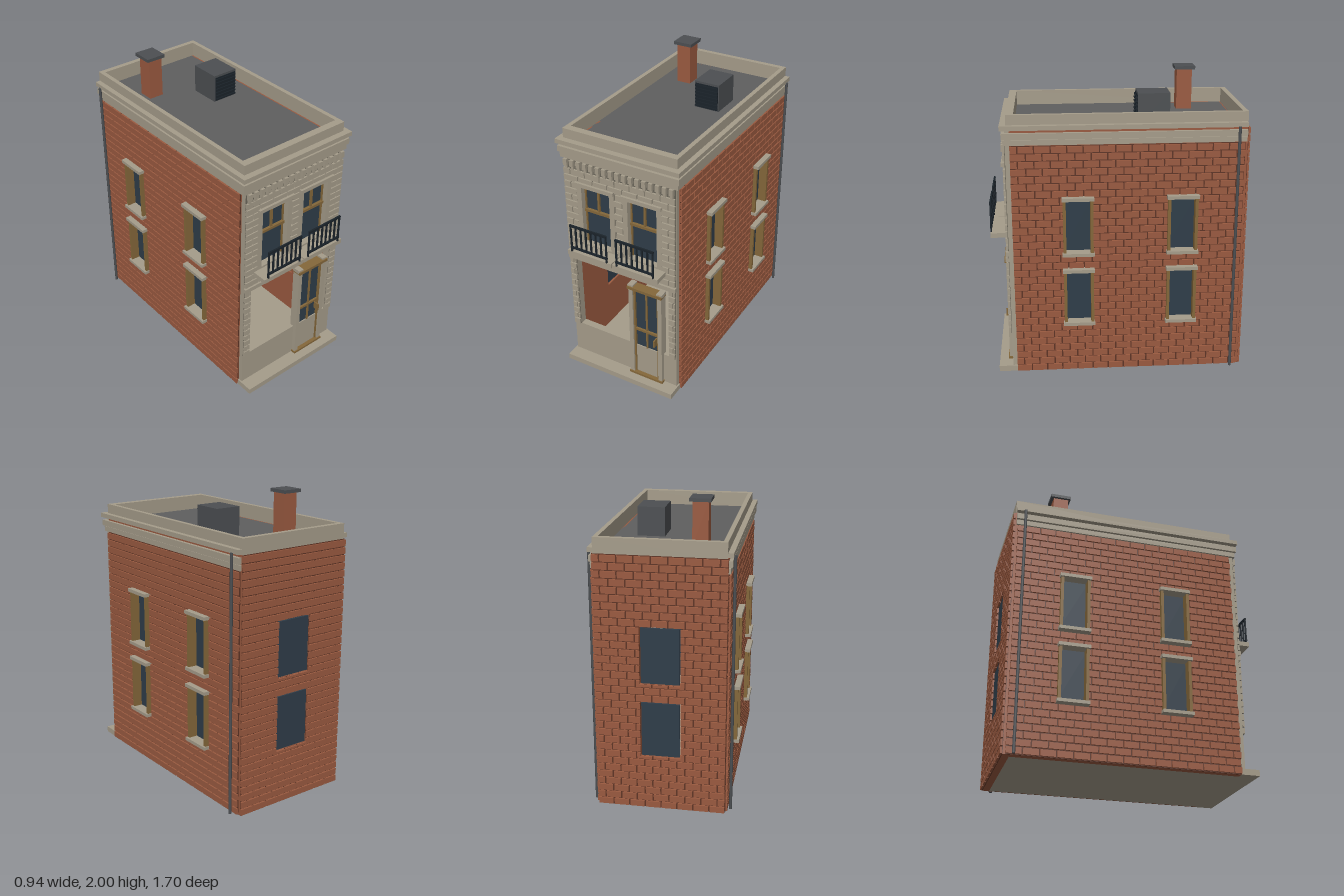
import * as THREE from 'three';
import { mergeGeometries } from 'three/addons/utils/BufferGeometryUtils.js';

const mat = (name, color) => Object.assign(new THREE.MeshStandardMaterial({ color }), { name });

export function createModel() {
  const M = {
    brick: mat('brick', 0x9a5a40),
    mortar: mat('dark mortar', 0x5e3425),
    stone: mat('stone', 0xa59c8a),
    joint: mat('stone joint', 0x6c675b),
    glass: mat('window glass', 0x2f3d49),
    wood: mat('varnished wood', 0x84673a),
    iron: mat('black iron', 0x1b232a),
    metal: mat('grey metal', 0x4c4f52),
    roof: mat('roof felt', 0x5f5f5f),
  };
  const model = new THREE.Group();
  model.name = 'townhouse';

  // Box from its limits on each axis
  const boxGeo = (x0, x1, y0, y1, z0, z1) =>
    new THREE.BoxGeometry(x1 - x0, y1 - y0, z1 - z0).translate((x0 + x1) / 2, (y0 + y1) / 2, (z0 + z1) / 2);
  const add = (parent, name, material, geo) => {
    const m = new THREE.Mesh(geo, material);
    m.name = name;
    parent.add(m);
    return m;
  };
  const box = (parent, name, material, ...limits) => add(parent, name, material, boxGeo(...limits));

  // Flat panel with rectangular holes [x0, x1, y0, y1]
  const panelGeo = ([x0, x1, y0, y1], holes, depth, z) => {
    const pts = (a, b, c, d) => [[a, c], [b, c], [b, d], [a, d]].map((p) => new THREE.Vector2(...p));
    const shape = new THREE.Shape(pts(x0, x1, y0, y1));
    for (const h of holes) shape.holes.push(new THREE.Path(pts(...h).reverse()));
    return new THREE.ExtrudeGeometry(shape, { depth, bevelEnabled: false }).translate(0, 0, z);
  };

  // Cuts the holes out of one block and returns the pieces left
  const cut = (r, holes) => holes.reduce((list, h) => list.flatMap(([a, b, c, d]) => {
    if (h[0] >= b || h[1] <= a || h[2] >= d || h[3] <= c) return [[a, b, c, d]];
    const lo = Math.max(a, h[0]), hi = Math.min(b, h[1]);
    return [[a, h[0], c, d], [h[1], b, c, d], [lo, hi, c, h[2]], [lo, hi, h[3], d]]
      .filter((p) => p[1] - p[0] > 0.008 && p[3] - p[2] > 0.008);
  }), [r]);

  // Staggered courses of raised blocks
  const courses = ([x0, x1, y0, y1], holes, rowH, len, gap, depth) => {
    const geos = [];
    const rows = Math.round((y1 - y0) / rowH);
    for (let r = 0; r < rows; r++) {
      const y = y0 + r * rowH;
      for (let x = x0 - (r % 2) * len / 2; x < x1 - 0.01; x += len) {
        const a = Math.max(x, x0), b = Math.min(x + len - gap, x1);
        if (b - a < 0.01) continue;
        for (const p of cut([a, b, y + gap / 2, y + rowH - gap / 2], holes)) geos.push(boxGeo(...p, 0, depth));
      }
    }
    return mergeGeometries(geos);
  };

  // Brick wall facing its own +z: panel, mortar face and raised bricks
  const brickWall = (name, rect, brickTop, holes) => {
    const g = new THREE.Group();
    g.name = name;
    add(g, 'wallPanel', M.brick, panelGeo(rect, holes, 0.045, -0.045));
    const face = [rect[0], rect[1], rect[2], brickTop];
    add(g, 'mortarFace', M.mortar, panelGeo(face, holes, 0.004, 0));
    add(g, 'bricks', M.brick, courses(face, holes, 0.05, 0.105, 0.009, 0.016));
    model.add(g);
    return g;
  };

  // Side walls with framed windows
  const storeys = [[0.37, 0.75], [0.87, 1.25]];
  for (const s of [1, -1]) {
    const u = (z) => -s * z;
    const ends = [u(-0.82), u(0.7)].sort((a, b) => a - b);
    const centres = [0.27, -0.42].map(u);
    const holes = centres.flatMap((c) => storeys.map(([b, t]) => [c - 0.1, c + 0.1, b, t]));
    const wall = brickWall(s > 0 ? 'leftWall' : 'rightWall', [...ends, 0, 1.7], 1.6, holes);
    wall.rotation.y = s * Math.PI / 2;
    wall.position.x = s * 0.415;
    for (const [a, b, y0, y1] of holes) {
      const w = new THREE.Group();
      w.name = 'sideWindow';
      wall.add(w);
      box(w, 'glass', M.glass, a, b, y0, y1, -0.03, -0.02);
      box(w, 'jamb', M.wood, a, a + 0.02, y0, y1, -0.03, 0.04);
      box(w, 'jamb', M.wood, b - 0.02, b, y0, y1, -0.03, 0.04);
      box(w, 'sill', M.stone, a - 0.006, b + 0.006, y0 - 0.018, y0 + 0.004, -0.02, 0.055);
      box(w, 'lintel', M.stone, a - 0.006, b + 0.006, y1 - 0.015, y1 + 0.008, -0.02, 0.055);
    }
    // Cornice bands along the side
    box(model, 'sideCornice', M.stone, ...[s * 0.39, s * 0.445].sort((a, b) => a - b), 1.705, 1.735, -0.83, 0.72);
    box(model, 'sideCornice', M.stone, ...[s * 0.39, s * 0.438].sort((a, b) => a - b), 1.645, 1.685, -0.83, 0.72);
    box(model, 'sideCornice', M.stone, ...[s * 0.39, s * 0.428].sort((a, b) => a - b), 1.605, 1.64, -0.83, 0.72);
    // Downpipe
    add(model, 'downpipe', M.metal, new THREE.CylinderGeometry(0.01, 0.01, 1.71, 8).translate(s * 0.448, 0.855, -0.775));
  }

  // Back wall with plain windows
  const backHoles = storeys.map(([b, t]) => [-0.13, 0.13, b, t]);
  const back = brickWall('backWall', [-0.415, 0.415, 0, 1.7], 1.7, backHoles);
  back.rotation.y = Math.PI;
  back.position.z = -0.835;
  for (const [a, b, y0, y1] of backHoles)
    box(back, 'backGlass', M.glass, a + 0.007, b - 0.007, y0 + 0.007, y1 - 0.007, -0.01, 0.005);

  // Base, roof and parapet
  box(model, 'baseSlab', M.stone, -0.41, 0.41, 0, 0.03, -0.83, 0.72);
  box(model, 'frontStep', M.stone, -0.42, 0.42, 0, 0.04, 0.7, 0.825);
  box(model, 'roofDeck', M.roof, -0.39, 0.39, 1.66, 1.7, -0.81, 0.69);
  add(model, 'parapet', M.stone,
    panelGeo([-0.41, 0.41, -0.72, 0.835], [[-0.38, 0.38, -0.67, 0.8]], 0.11, 1.69).rotateX(-Math.PI / 2));

  // Stone facade
  const shop = [-0.36, 0.36, 0.28, 0.845];
  const upper = [-0.172, 0.172].map((c) => [c - 0.105, c + 0.105, 1.0, 1.42]);
  const front = new THREE.Group();
  front.name = 'frontFacade';
  model.add(front);
  const openings = [shop, ...upper];
  add(front, 'facadePanel', M.stone, panelGeo([-0.41, 0.41, 0.03, 1.7], openings, 0.05, 0.68));
  const surrounds = upper.map(([a, b]) => [a - 0.035, b + 0.035, 0.96, 1.46]);
  const blockFaces = [[-0.405, 0.405, 0.88, 1.54], [-0.405, -0.36, 0.28, 0.85], [0.36, 0.405, 0.28, 0.85]];
  blockFaces.forEach((f, i) => {
    const holes = i ? [] : surrounds;
    add(front, 'jointFace', M.joint, panelGeo(f, holes, 0.004, 0.73));
    add(front, 'stoneBlocks', M.stone,
      courses(f, holes, i ? 0.0475 : 0.0472, i ? 0.07 : 0.11, 0.008, 0.018).translate(0, 0, 0.73));
  });
  box(front, 'stringCourse', M.stone, -0.41, 0.41, 0.845, 0.875, 0.72, 0.752);

  // Front cornice and its brackets
  box(front, 'cornice', M.stone, -0.445, 0.445, 1.705, 1.735, 0.69, 0.762);
  box(front, 'cornice', M.stone, -0.438, 0.438, 1.645, 1.685, 0.69, 0.752);
  box(front, 'cornice', M.stone, -0.428, 0.428, 1.605, 1.64, 0.69, 0.742);
  box(front, 'frieze', M.joint, -0.405, 0.405, 1.54, 1.605, 0.72, 0.734);
  for (let i = 0; i < 17; i++) {
    const x = -0.384 + i * 0.048;
    box(front, 'bracket', M.stone, x - 0.014, x + 0.014, 1.56, 1.605, 0.72, 0.757);
    box(front, 'bracketFoot', M.stone, x - 0.009, x + 0.009, 1.535, 1.56, 0.72, 0.747);
  }

  // Upper windows, balcony and railings
  upper.forEach(([a, b, y0, y1], i) => {
    const c = (a + b) / 2, w = new THREE.Group();
    w.name = 'balconyWindow';
    model.add(w);
    add(w, 'surround', M.stone, panelGeo(surrounds[i], [upper[i]], 0.027, 0.72));
    box(w, 'lintel', M.stone, a - 0.04, b + 0.04, 1.435, 1.46, 0.73, 0.765);
    box(w, 'glass', M.glass, a, b, y0, y1, 0.69, 0.7);
    box(w, 'mullion', M.wood, c - 0.007, c + 0.007, 1.24, y1, 0.7, 0.715);
    box(w, 'transom', M.wood, a, b, 1.235, 1.253, 0.7, 0.72);
    for (const x of [a, b - 0.01]) box(w, 'sash', M.wood, x, x + 0.01, y0, y1, 0.7, 0.71);

    box(w, 'balconySlab', M.stone, c - 0.168, c + 0.168, 0.955, 0.987, 0.73, 0.85);
    const r = new THREE.Group();
    r.name = 'railing';
    w.add(r);
    box(r, 'topRail', M.iron, c - 0.14, c + 0.14, 1.175, 1.19, 0.84, 0.852);
    box(r, 'bottomRail', M.iron, c - 0.14, c + 0.14, 1.01, 1.023, 0.84, 0.852);
    for (let k = 0; k < 8; k++) {
      const x = c - 0.134 + k * 0.0383, end = k % 7 === 0;
      box(r, 'baluster', M.iron, x - 0.005, x + 0.005, end ? 0.985 : 1.015, 1.18, 0.841, 0.851);
    }
  });

  // Street door
  const door = new THREE.Group();
  door.name = 'streetDoor';
  model.add(door);
  for (const x of [0.06, 0.28]) {
    box(door, 'doorPost', M.stone, x, x + 0.03, 0.04, 0.77, 0.7, 0.757);
    box(door, 'doorPostTop', M.stone, x - 0.005, x + 0.035, 0.77, 0.795, 0.7, 0.76);
  }
  box(door, 'doorHeader', M.wood, 0.055, 0.315, 0.763, 0.783, 0.7, 0.768);
  box(door, 'doorPanel', M.stone, 0.09, 0.28, 0.05, 0.285, 0.72, 0.738);
  box(door, 'doorGlass', M.glass, 0.09, 0.28, 0.28, 0.765, 0.72, 0.73);
  for (const x of [0.09, 0.268]) box(door, 'doorStile', M.wood, x, x + 0.012, 0.04, 0.765, 0.72, 0.745);
  box(door, 'doorMullion', M.wood, 0.179, 0.191, 0.285, 0.765, 0.72, 0.74);
  box(door, 'middleRail', M.wood, 0.09, 0.28, 0.42, 0.437, 0.72, 0.745);
  box(door, 'threshold', M.wood, 0.055, 0.315, 0.04, 0.055, 0.72, 0.765);
  box(door, 'doorHandle', M.wood, 0.252, 0.262, 0.345, 0.4, 0.73, 0.772);

  // Chimney
  box(model, 'chimneyStack', M.brick, -0.255, -0.153, 1.69, 1.98, -0.55, -0.445);
  box(model, 'chimneyCap', M.metal, -0.273, -0.137, 1.978, 2.0, -0.57, -0.43);

  // Roof ventilation unit with louvres
  box(model, 'ventUnit', M.metal, 0.055, 0.235, 1.69, 1.89, -0.35, -0.138);
  box(model, 'ventGrille', M.iron, 0.062, 0.228, 1.705, 1.875, -0.138, -0.134);
  for (let i = 0; i < 7; i++)
    box(model, 'ventLouvre', M.iron, 0.062, 0.228, 1.712 + i * 0.024, 1.722 + i * 0.024, -0.136, -0.126);

  return model;
}
